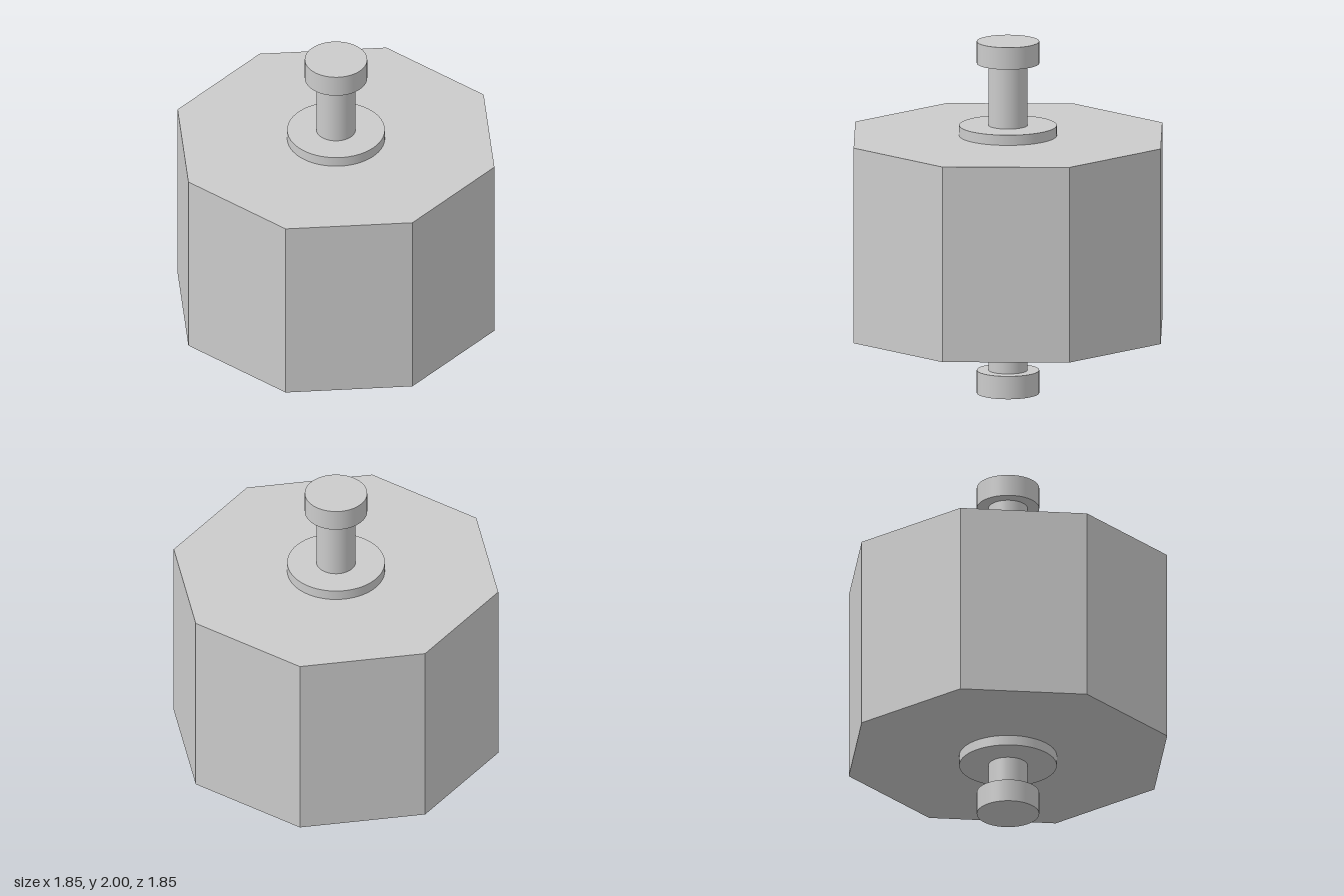
import * as THREE from 'three';

export function createModel() {
  const group = new THREE.Group();
  const smooth = new THREE.MeshStandardMaterial({ color: 0xcccccc });
  const faceted = new THREE.MeshStandardMaterial({ color: 0xcccccc, flatShading: true });

  // Upright cylinder or prism spanning y0 to y1
  function addCylinder(name, radius, y0, y1, sides = 64, material = smooth) {
    const geometry = new THREE.CylinderGeometry(radius, radius, y1 - y0, sides);
    const mesh = new THREE.Mesh(geometry, material);
    mesh.name = name;
    mesh.position.y = (y0 + y1) / 2;
    group.add(mesh);
  }

  // Octagonal drum with corners on the x and z axes
  addCylinder('drum', 0.925, 0.355, 1.465, 8, faceted);

  // Collars seated against the drum
  addCylinder('lowerCollar', 0.272, 0.297, 0.355);
  addCylinder('upperCollar', 0.272, 1.465, 1.523);

  // Axle stubs
  addCylinder('lowerAxle', 0.109, 0.13, 0.297);
  addCylinder('upperAxle', 0.109, 1.523, 1.875);

  // Axle end knobs
  addCylinder('lowerKnob', 0.174, 0, 0.13);
  addCylinder('upperKnob', 0.174, 1.875, 2);

  return group;
}
